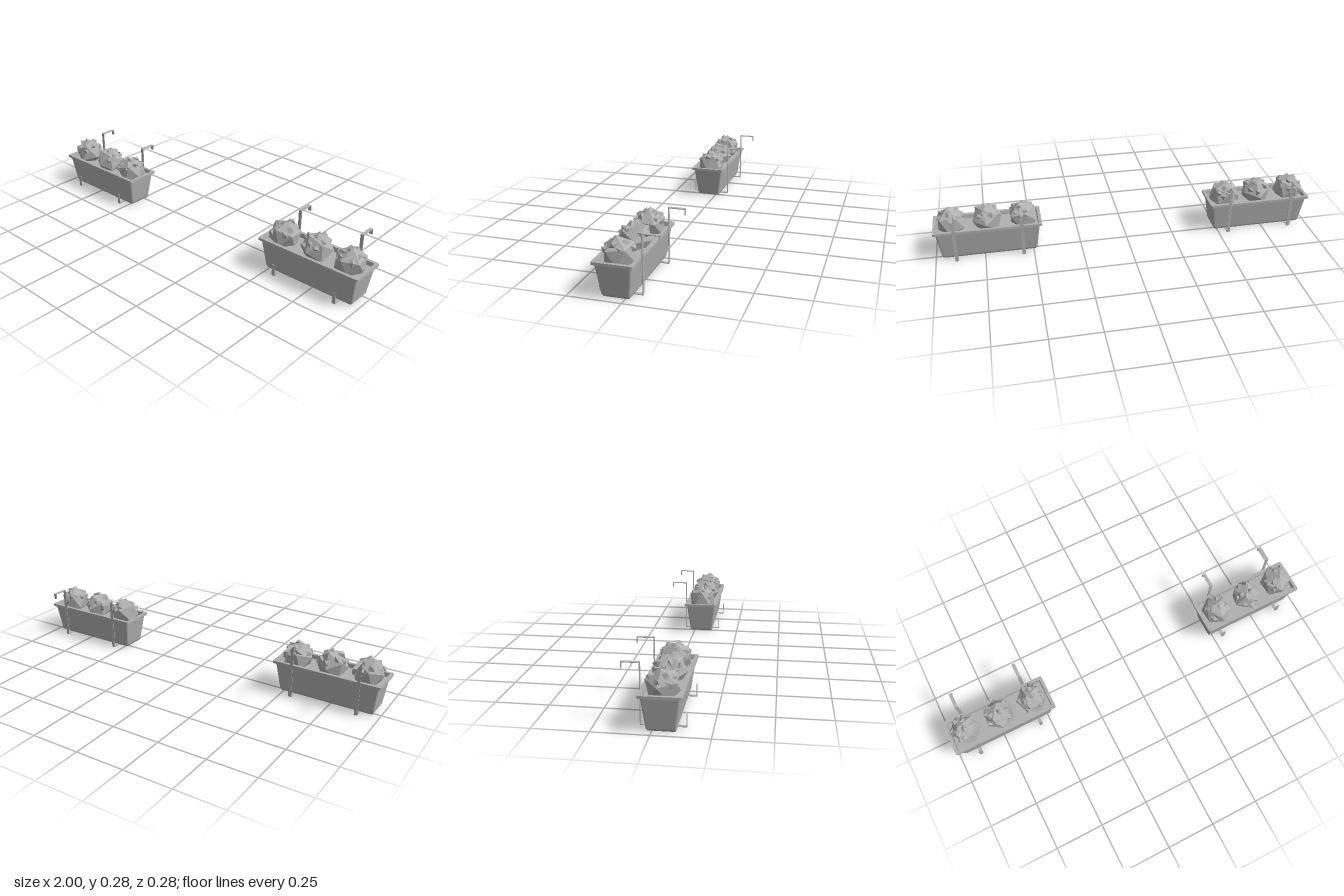
import * as THREE from 'three';

const grey = new THREE.MeshStandardMaterial({ color: 0xb0b0b0, flatShading: true });
grey.name = 'plain grey';

// Small seeded generator for the irregular plants
let seed = 7;
const rand = (a = 0, b = 1) => {
  seed = (seed * 16807) % 2147483647;
  return a + (b - a) * (seed / 2147483647);
};

function add(parent, geometry, name, x = 0, y = 0, z = 0) {
  const mesh = new THREE.Mesh(geometry, grey);
  mesh.name = name;
  mesh.position.set(x, y, z);
  parent.add(mesh);
  return mesh;
}

// Rounded rectangle cross-section at height y
function ring([hx, hz, r, y]) {
  const points = [];
  [[1, 1], [-1, 1], [-1, -1], [1, -1]].forEach(([sx, sz], q) => {
    for (let k = 0; k <= 3; k++) {
      const a = (q + k / 3) * Math.PI / 2;
      points.push([sx * (hx - r) + r * Math.cos(a), y, sz * (hz - r) + r * Math.sin(a)]);
    }
  });
  return points;
}

// Closed skin through a stack of sections, capped at both ends
function loft(sections) {
  const rings = sections.map(ring);
  const n = rings[0].length, last = rings.length - 1, pos = [];
  const tri = (...corners) => corners.forEach(c => pos.push(...c));
  for (let i = 0; i < n; i++) {
    const j = (i + 1) % n;
    for (let s = 0; s < last; s++) {
      const a = rings[s], b = rings[s + 1];
      tri(a[i], b[i], b[j]);
      tri(a[i], b[j], a[j]);
    }
    tri([0, sections[0][3], 0], rings[0][i], rings[0][j]);
    tri([0, sections[last][3], 0], rings[last][j], rings[last][i]);
  }
  const g = new THREE.BufferGeometry();
  g.setAttribute('position', new THREE.Float32BufferAttribute(pos, 3));
  g.computeVertexNormals();
  return g;
}

// Tapered trough, rim and soil level: half width, half depth, corner radius, y
const troughGeometry = loft([
  [0.238, 0.060, 0.008, 0.004],
  [0.244, 0.064, 0.008, 0.014],
  [0.263, 0.083, 0.008, 0.155],
  [0.275, 0.093, 0.008, 0.155],
  [0.275, 0.093, 0.008, 0.168],
  [0.259, 0.077, 0.005, 0.168],
  [0.256, 0.074, 0.005, 0.147],
]);

// Flat strap running under the trough and hooking over a rail behind: z, y
const strapPath = [[0.138, 0.058], [0.138, 0.0015], [-0.058, 0.0015], [-0.058, 0.2735], [-0.136, 0.2735], [-0.136, 0.247]];
function bracket(x) {
  const g = new THREE.Group();
  g.name = 'bracket';
  const t = 0.003;
  for (let i = 0; i < strapPath.length - 1; i++) {
    const [z0, y0] = strapPath[i], [z1, y1] = strapPath[i + 1];
    const box = new THREE.BoxGeometry(0.017, Math.abs(y1 - y0) + t, Math.abs(z1 - z0) + t);
    add(g, box, 'bracketStrap', x, (y0 + y1) / 2, (z0 + z1) / 2);
  }
  return g;
}

// Faceted bush with pointed leaves scattered over its upper half
const bushGeometry = new THREE.IcosahedronGeometry(0.08, 0);
const leafGeometry = new THREE.ConeGeometry(0.022, 0.018, 4);
function plant(x, y) {
  const g = new THREE.Group();
  g.name = 'plant';
  g.position.set(x, y, 0.04);
  const bush = add(g, bushGeometry, 'bush');
  bush.rotation.set(0.55 + rand(-0.25, 0.25), rand(0, 6), rand(-0.2, 0.2));
  const up = new THREE.Vector3(0, 1, 0);
  for (let i = 0; i < 11; i++) {
    const polar = 0.2 + 1.05 * Math.sqrt(i / 10), around = i * 2.4 + rand(0, 0.6);
    const dir = new THREE.Vector3().setFromSphericalCoords(1, polar, around);
    const leaf = add(g, leafGeometry, 'leaf');
    leaf.position.copy(dir).multiplyScalar(rand(0.07, 0.077));
    leaf.quaternion.setFromUnitVectors(up, dir);
    leaf.rotateY(rand(0, 3));
    leaf.rotateX(rand(-0.5, 0.5));
    leaf.scale.set(rand(0.8, 1.1), 1, rand(0.6, 1));
  }
  return g;
}

export function createModel() {
  seed = 7;
  const model = new THREE.Group();
  model.name = 'railingPlanters';
  for (const side of [-1, 1]) {
    const planter = new THREE.Group();
    planter.name = side < 0 ? 'rightPlanter' : 'leftPlanter';
    planter.position.x = side * 0.724;
    add(planter, troughGeometry, 'trough', 0, 0, 0.04);
    for (const x of [-0.171, 0.171]) planter.add(bracket(x));
    [-0.183, 0, 0.181].forEach((x, i) => planter.add(plant(x, 0.186 - 0.004 * (side < 0 ? i : 1))));
    model.add(planter);
  }
  return model;
}
